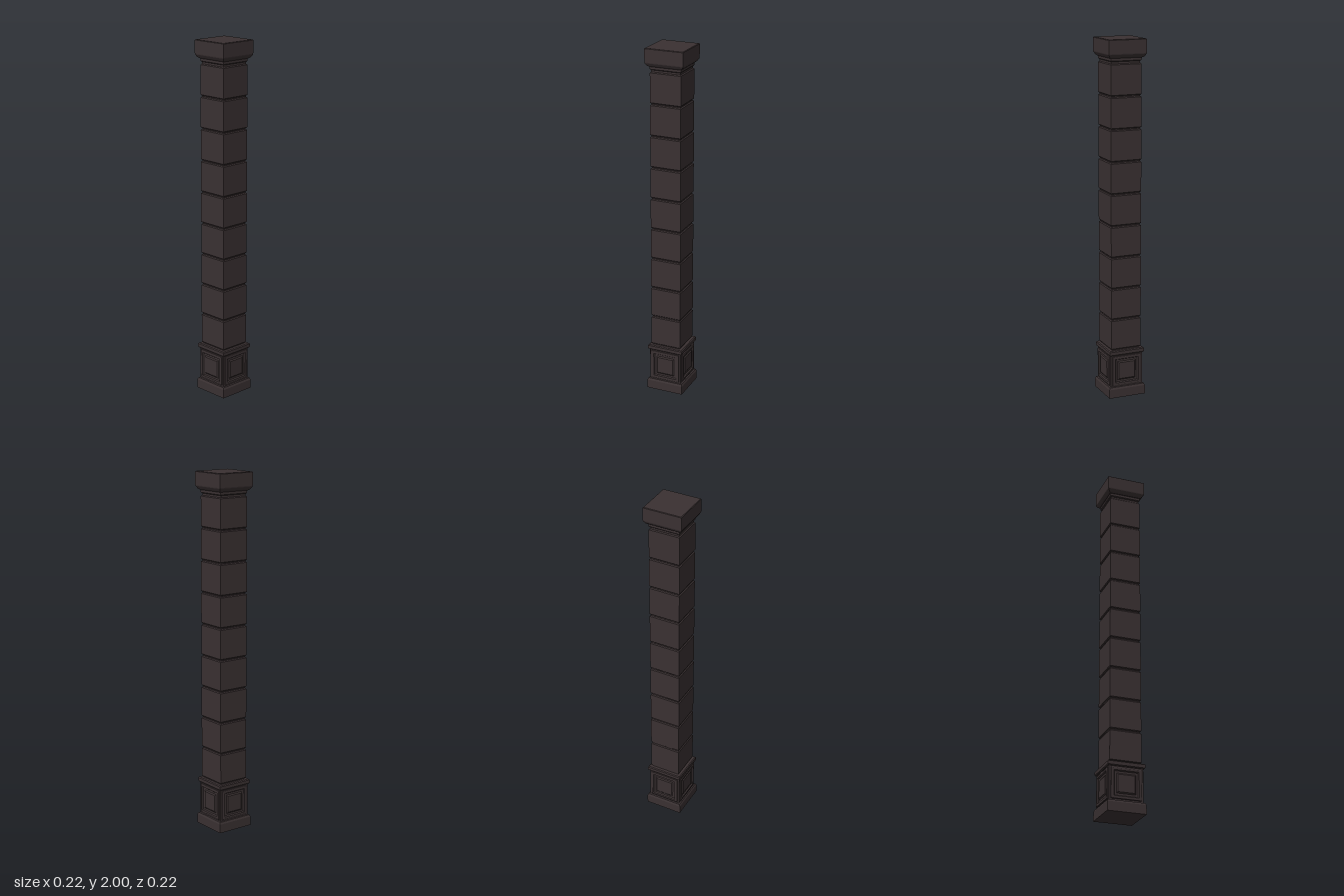
import * as THREE from 'three';

// Square solid from [halfWidth, height] points, bottom to top, with hard edges
function squareLoft(points) {
  const profile = points.map(([half, y]) => new THREE.Vector2(half * Math.SQRT2, y));
  const geometry = new THREE.LatheGeometry(profile, 4, Math.PI / 4).toNonIndexed();
  geometry.computeVertexNormals();
  return geometry;
}

// Closed square block with bevelled rims
function bevelBlock(half, y0, y1, bevel) {
  return squareLoft([
    [0, y0], [half - bevel, y0], [half, y0 + bevel],
    [half, y1 - bevel], [half - bevel, y1], [0, y1],
  ]);
}

export function createModel() {
  const group = new THREE.Group();
  const stone = new THREE.MeshStandardMaterial({ color: 0x3a3132 });
  stone.name = 'dark stone';

  const add = (name, geometry, parent = group) => {
    const mesh = new THREE.Mesh(geometry, stone);
    mesh.name = name;
    parent.add(mesh);
    return mesh;
  };

  // Pedestal
  add('plinth', squareLoft([
    [0, 0], [0.108, 0], [0.108, 0.05], [0.103, 0.061], [0.095, 0.063], [0, 0.063],
  ]));
  add('pedestalCore', squareLoft([[0, 0.06], [0.095, 0.06], [0.095, 0.25], [0, 0.25]]));
  add('pedestalCollar', bevelBlock(0.104, 0.247, 0.275, 0.005));

  // Framed, raised panel on each pedestal face
  const panel = squareLoft([
    [0.086, 0.09], [0.084, 0.1], [0.081, 0.102], [0.07, 0.102], [0.064, 0.093],
    [0.057, 0.093], [0.047, 0.1], [0, 0.1],
  ]).rotateX(Math.PI / 2);
  for (let i = 0; i < 4; i++) {
    const side = new THREE.Group();
    side.name = 'pedestalPanel' + (i + 1);
    side.rotation.y = i * Math.PI / 2;
    add('panel', panel, side).position.y = 0.155;
    group.add(side);
  }

  // Shaft of nine blocks with recessed joints
  add('shaftCore', squareLoft([[0, 0.27], [0.083, 0.27], [0.083, 1.91], [0, 1.91]]));
  const bottom = 0.279, pitch = 0.1775;
  const block = bevelBlock(0.089, 0, pitch - 0.006, 0.005);
  for (let i = 0; i < 9; i++) {
    add('shaftBlock' + (i + 1), block).position.y = bottom + i * pitch;
  }

  // Capital
  add('capitalNeck', bevelBlock(0.089, 1.881, 1.905, 0.005));
  add('capital', squareLoft([
    [0, 1.9], [0.092, 1.9], [0.1, 1.906], [0.109, 1.92], [0.11, 1.925],
    [0.11, 1.997], [0.107, 2], [0, 2],
  ]));
  return group;
}
